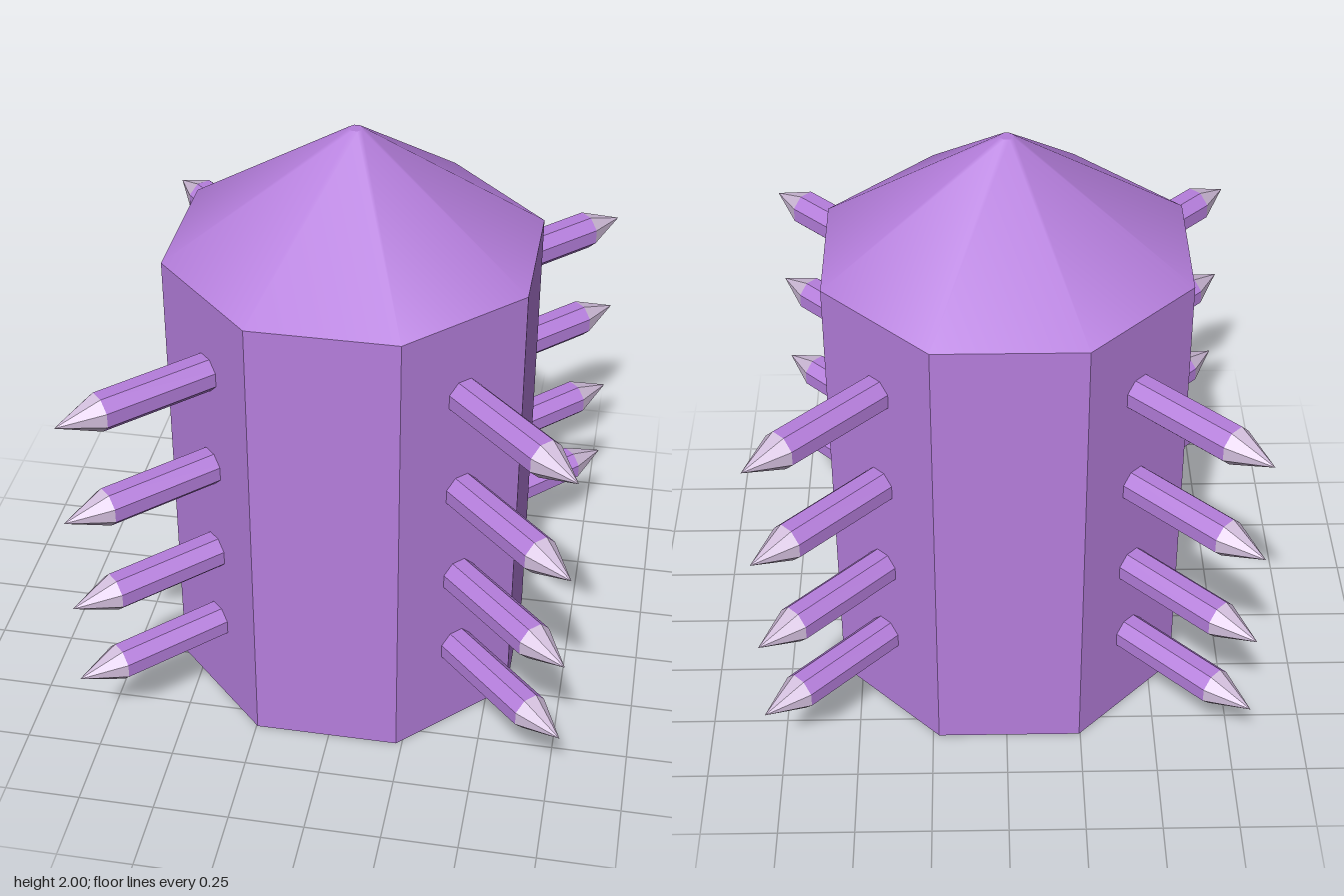
import * as THREE from 'three';

const purple = new THREE.MeshStandardMaterial({ color: 0xb57edc, flatShading: true });
const purpleSmooth = new THREE.MeshStandardMaterial({ color: 0xb57edc });
const pale = new THREE.MeshStandardMaterial({ color: 0xd2bedc, flatShading: true });

const SIDES = 8;
const TURN = Math.PI / SIDES; // puts a flat side to the front
const BODY_R = 0.575 / Math.cos(TURN);
const SPIKE_R = 0.063;

function part(name, geometry, material, parent) {
  const mesh = new THREE.Mesh(geometry, material);
  mesh.name = name;
  parent.add(mesh);
  return mesh;
}

// One spike lying along +z: an octagonal shaft with a pointed tip
function makeSpike() {
  const spike = new THREE.Group();
  spike.name = 'spike';
  const start = 0.5, shoulder = 0.96, end = 1.11;
  const shaft = new THREE.CylinderGeometry(SPIKE_R, SPIKE_R, shoulder - start, SIDES)
    .rotateY(TURN).rotateX(Math.PI / 2).translate(0, 0, (start + shoulder) / 2);
  part('spikeShaft', shaft, purple, spike);
  const tip = new THREE.ConeGeometry(SPIKE_R, end - shoulder, SIDES, 1, true)
    .rotateY(TURN).rotateX(Math.PI / 2).translate(0, 0, (shoulder + end) / 2);
  part('spikeTip', tip, pale, spike);
  return spike;
}

export function createModel() {
  const model = new THREE.Group();
  model.name = 'spikedPillar';

  // Octagonal column, slightly off the centre of the spikes
  const column = new THREE.Group();
  column.name = 'column';
  column.position.set(-0.008, 0, -0.003);
  model.add(column);
  part('body', new THREE.CylinderGeometry(BODY_R, BODY_R, 1.6, SIDES)
    .rotateY(TURN).translate(0, 0.8, 0), purple, column);

  // Pointed roof with a tiny flat top
  part('roof', new THREE.CylinderGeometry(0.023, BODY_R, 0.4, SIDES)
    .rotateY(TURN).translate(0, 1.8, 0), purpleSmooth, column);

  // Four rows of spikes on the diagonal sides
  for (const y of [0.32, 0.62, 0.965, 1.327]) {
    for (let i = 0; i < 4; i++) {
      const spike = makeSpike();
      spike.position.y = y;
      spike.rotation.y = Math.PI / 4 + i * Math.PI / 2;
      model.add(spike);
    }
  }
  return model;
}
